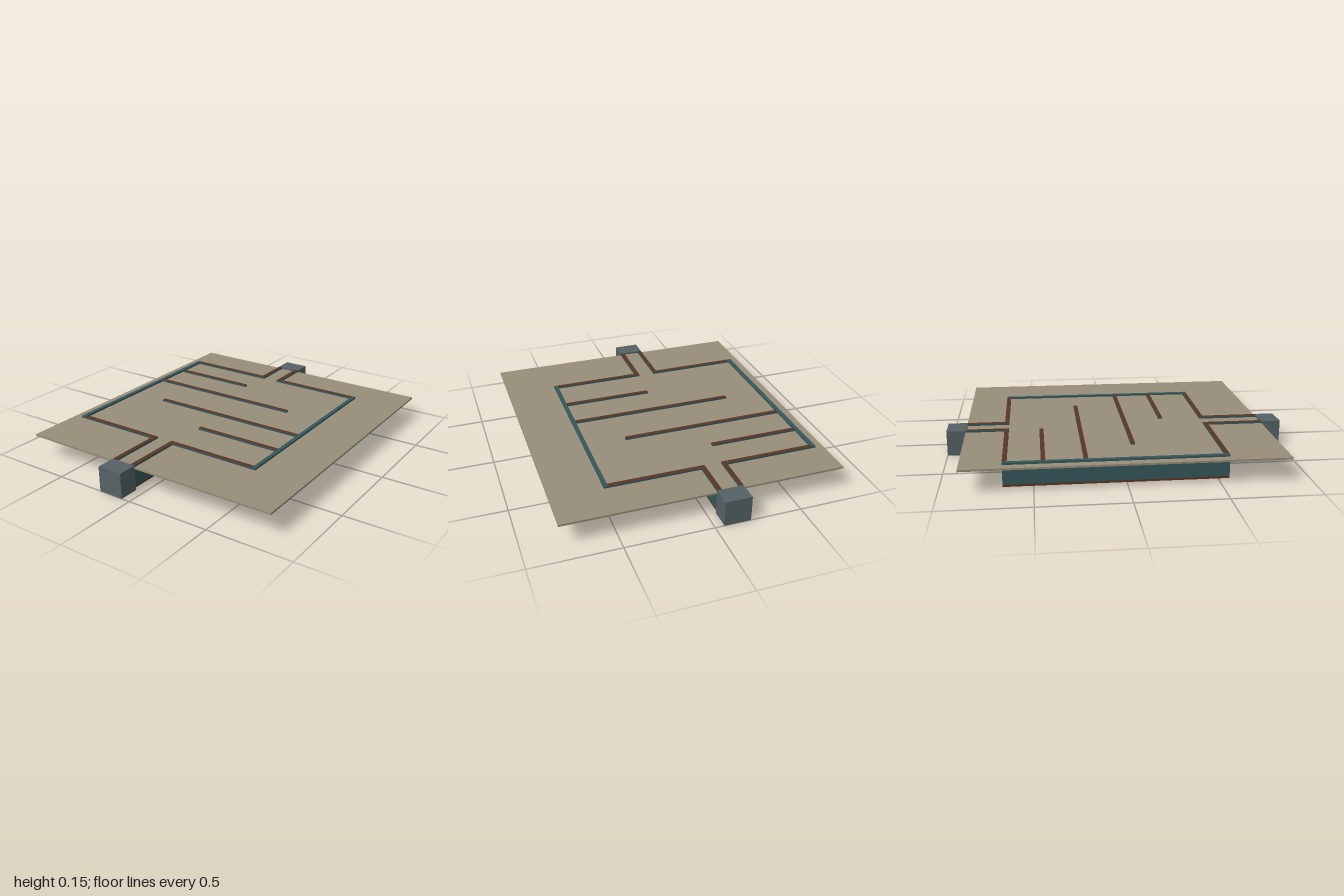
import * as THREE from 'three';

function mat(name, color, side = THREE.FrontSide) {
  const m = new THREE.MeshStandardMaterial({ color, side });
  m.name = name;
  return m;
}

export function createModel() {
  const group = new THREE.Group();
  const teal = mat('teal wall', 0x35575a);
  const brown = mat('brown edge', 0x5a3625);
  const tan = mat('tan floor', 0x978d79);
  const grey = mat('grey block', 0x566266);

  // Box given by its limits on each axis
  function box(name, material, x0, x1, y0, y1, z0, z1, parent = group) {
    const mesh = new THREE.Mesh(new THREE.BoxGeometry(x1 - x0, y1 - y0, z1 - z0), material);
    mesh.position.set((x0 + x1) / 2, (y0 + y1) / 2, (z0 + z1) / 2);
    mesh.name = name;
    parent.add(mesh);
  }

  // Wall: teal sides, brown underside and foot, chosen top colour
  function wall(name, x0, x1, z0, z1, top = brown) {
    const g = new THREE.Group();
    g.name = name;
    box('panel', [teal, teal, top, brown, teal, teal], x0, x1, 0.028, 0.15, z0, z1, g);
    box('foot', [brown, brown, brown, brown, teal, teal], x0, x1, 0.016, 0.028, z0, z1, g);
    group.add(g);
  }

  // Thin horizontal plate
  box('plate', tan, -0.81, 0.805, 0.128, 0.139, -0.89, 0.885);

  // Long side walls
  wall('rightSideWall', -0.76, -0.735, -0.663, 0.553, teal);
  wall('leftSideWall', 0.482, 0.505, -0.663, 0.553, teal);

  // End walls with a gap for the channel, and the channel walls
  for (const [end, z0, z1, c0, c1] of [
    ['back', -0.663, -0.638, -0.887, -0.638],
    ['front', 0.528, 0.553, 0.528, 0.887],
  ]) {
    wall(end + 'EndWallRight', -0.735, -0.205, z0, z1);
    wall(end + 'EndWallLeft', -0.053, 0.482, z0, z1);
    wall(end + 'ChannelWallRight', -0.205, -0.18, c0, c1);
    wall(end + 'ChannelWallLeft', -0.08, -0.053, c0, c1);
  }

  // Staggered baffles
  for (const [x0, x1, z] of [
    [-0.735, -0.205, -0.447],
    [-0.735, 0.25, -0.22],
    [-0.51, 0.482, 0.058],
    [-0.055, 0.482, 0.287],
  ]) wall('baffle', x0, x1, z - 0.012, z + 0.012);

  // Port blocks: hoods open below and towards the channel
  for (const s of [-1, 1]) {
    const port = new THREE.Group();
    port.name = s > 0 ? 'frontPort' : 'backPort';
    const z0 = s > 0 ? 0.885 : -1, z1 = s > 0 ? 1 : -0.885;
    box('top', grey, -0.205, -0.052, 0.138, 0.15, z0, z1, port);
    box('rightSide', grey, -0.205, -0.19, 0, 0.138, z0, z1, port);
    box('leftSide', grey, -0.067, -0.052, 0, 0.138, z0, z1, port);
    box('end', grey, -0.19, -0.067, 0, 0.138, s > 0 ? 0.985 : -1, s > 0 ? 1 : -0.985, port);
    group.add(port);
  }

  return group;
}
